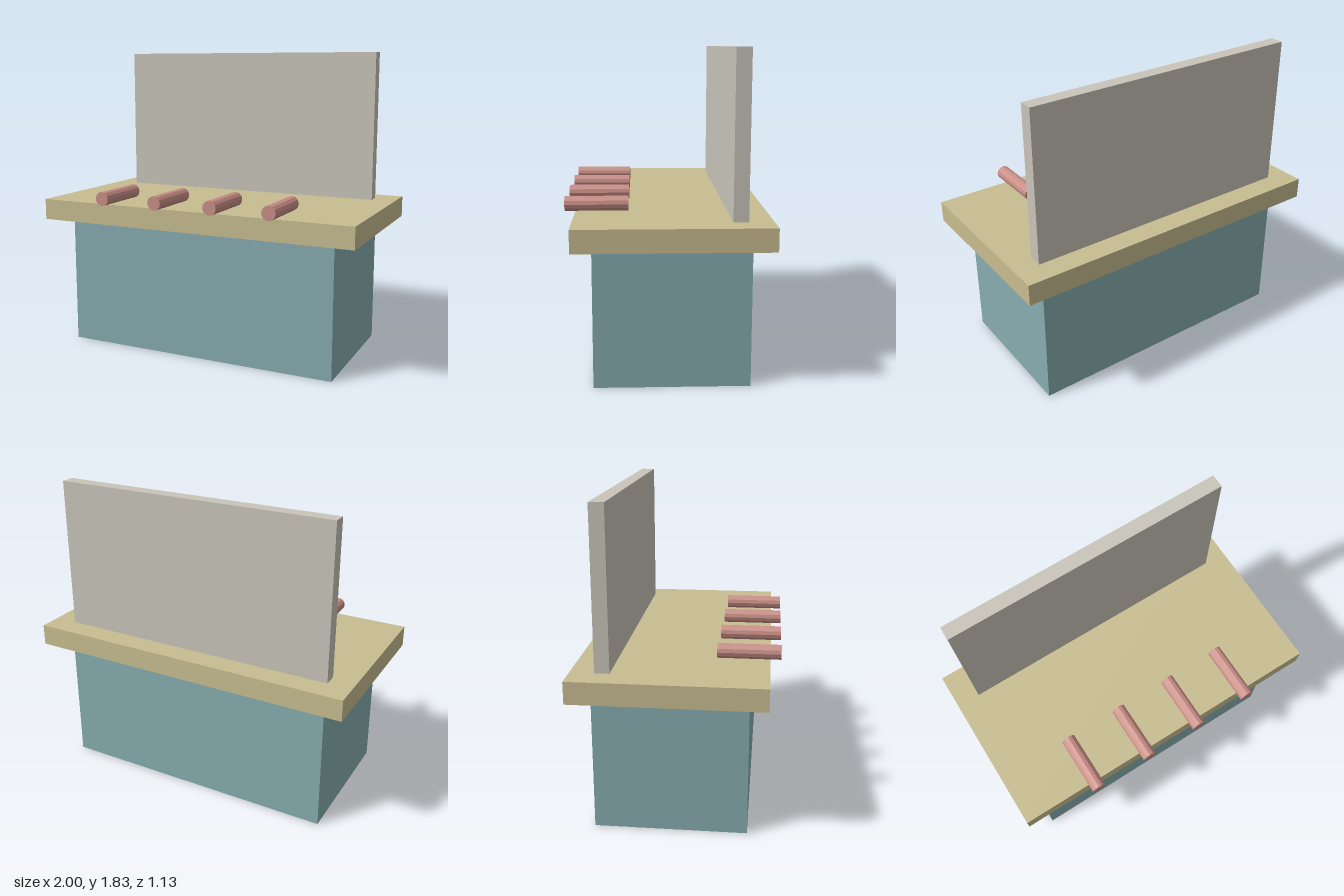
import * as THREE from 'three';

const paint = (name, color) => {
  const material = new THREE.MeshStandardMaterial({ color });
  material.name = name;
  return material;
};

export function createModel() {
  const model = new THREE.Group();
  model.name = 'counter';

  const teal = paint('teal', 0x87adb0);
  const sand = paint('sand', 0xc8bd91);
  const stone = paint('stone', 0xc9c5ba);
  const rose = paint('rose', 0xc98f87);
  rose.flatShading = true;

  // Box given by its width and its y and z extents
  const addBox = (name, material, width, y0, y1, z0, z1) => {
    const mesh = new THREE.Mesh(new THREE.BoxGeometry(width, y1 - y0, z1 - z0), material);
    mesh.name = name;
    mesh.position.set(0, (y0 + y1) / 2, (z0 + z1) / 2);
    model.add(mesh);
  };

  addBox('base', teal, 1.716, 0, 0.79, -0.455, 0.402);
  addBox('counterTop', sand, 2, 0.79, 0.917, -0.565, 0.505);
  addBox('backPanel', stone, 1.716, 0.917, 1.825, -0.429, -0.346);

  // Four round pegs lying on the top and overhanging the front edge
  const pegRadius = 0.0425;
  const pegGeometry = new THREE.CylinderGeometry(pegRadius, pegRadius, 0.357, 12);
  pegGeometry.rotateX(Math.PI / 2);
  for (let i = 0; i < 4; i++) {
    const peg = new THREE.Mesh(pegGeometry, rose);
    peg.name = `peg${i + 1}`;
    peg.position.set((i - 1.5) * 0.357, 0.917 + pegRadius, 0.386);
    model.add(peg);
  }

  return model;
}
